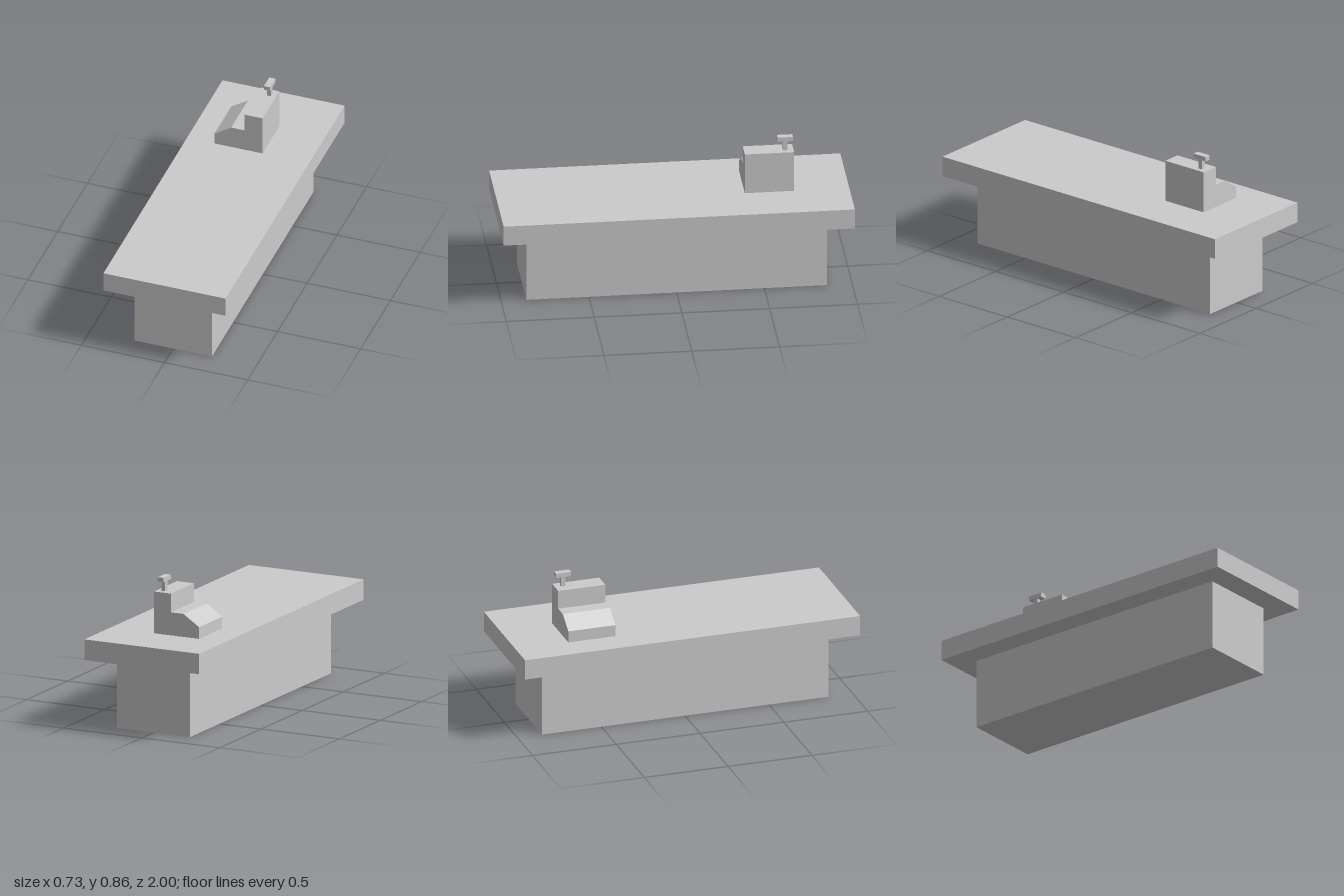
import * as THREE from 'three';

const material = new THREE.MeshStandardMaterial({ color: 0xcccccc, flatShading: true });

// Box given by its min and max corners
function box(name, [x0, y0, z0], [x1, y1, z1]) {
  const mesh = new THREE.Mesh(new THREE.BoxGeometry(x1 - x0, y1 - y0, z1 - z0), material);
  mesh.position.set((x0 + x1) / 2, (y0 + y1) / 2, (z0 + z1) / 2);
  mesh.name = name;
  return mesh;
}

export function createModel() {
  const model = new THREE.Group();
  model.name = 'checkoutCounter';

  // Counter: base with an overhanging top
  model.add(box('counterBase', [-0.233, 0, -0.855], [0.233, 0.413, 0.855]));
  model.add(box('counterTop', [-0.367, 0.413, -1], [0.367, 0.532, 1]));

  // Cash register: stepped side profile with a sloped keyboard, extruded along z
  const register = new THREE.Group();
  register.name = 'cashRegister';
  const profile = new THREE.Shape([
    [-0.202, 0.532], [0.087, 0.532], [0.087, 0.775], [-0.021, 0.775],
    [-0.021, 0.666], [-0.102, 0.666], [-0.202, 0.6],
  ].map(([x, y]) => new THREE.Vector2(x, y)));
  const body = new THREE.Mesh(
    new THREE.ExtrudeGeometry(profile, { depth: 0.281, bevelEnabled: false }), material);
  body.position.z = -0.686;
  body.name = 'registerBody';
  register.add(body);

  // Customer display on a short post
  register.add(box('displayPost', [0.034, 0.775, -0.65], [0.058, 0.834, -0.624]));
  register.add(box('displayHead', [0.028, 0.834, -0.682], [0.065, 0.86, -0.593]));
  model.add(register);

  return model;
}
